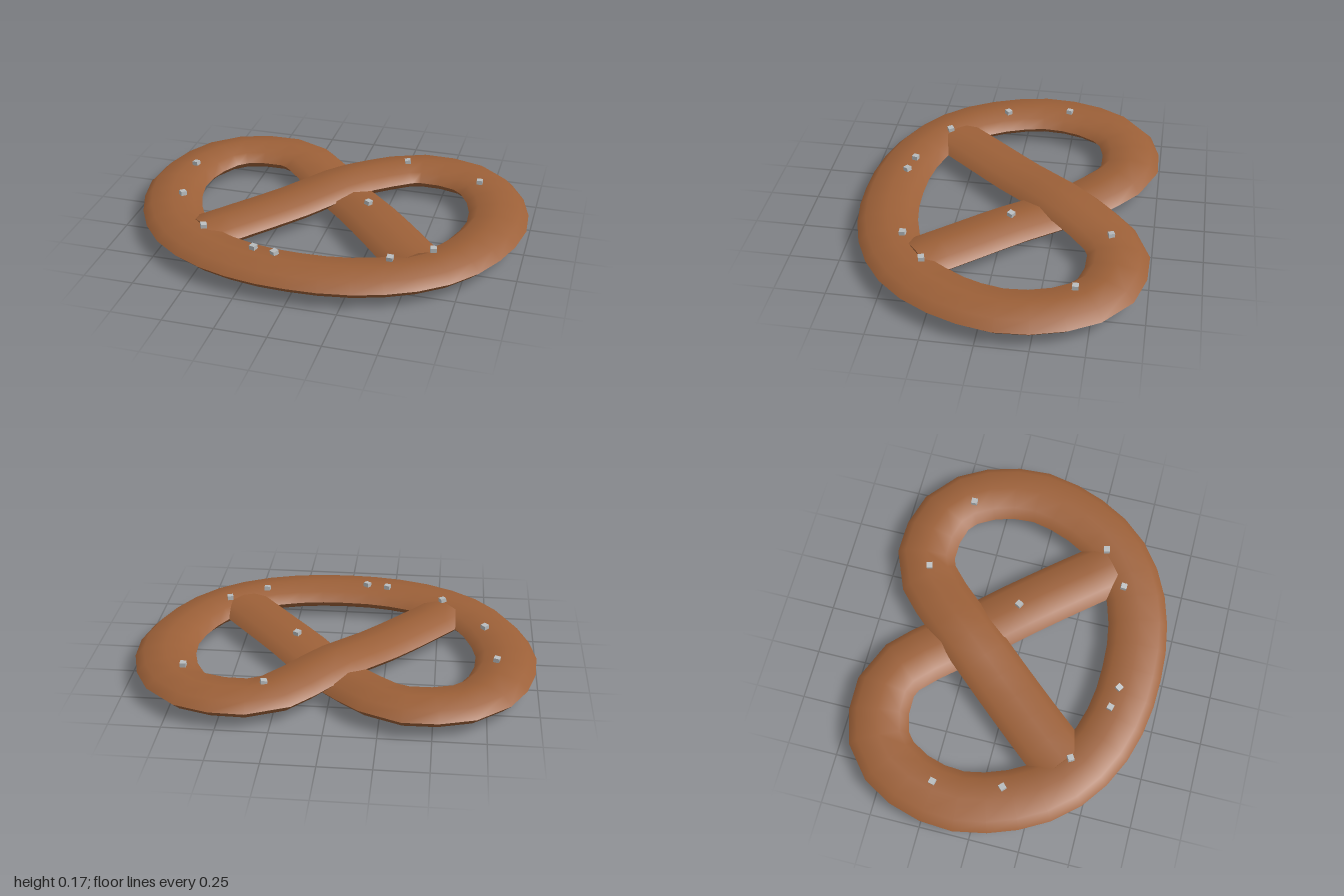
import * as THREE from 'three';

const MID_Y = 0.0875, HALF_W = 0.15, HALF_H = 0.06, STEPS = 50;

// Centre line of one half (x, z), from the front middle round the loop to the crossed-over end
const HALF = [
  [0.21, 0.57], [0.41, 0.515], [0.55, 0.44], [0.646, 0.36], [0.727, 0.255], [0.795, 0.115],
  [0.843, -0.06], [0.843, -0.18], [0.82, -0.3], [0.772, -0.41], [0.70, -0.51], [0.609, -0.565],
  [0.5, -0.592], [0.404, -0.596], [0.305, -0.578], [0.215, -0.51], [0.11, -0.405],
  [0, -0.277], [-0.2, -0.045], [-0.4, 0.19], [-0.54, 0.36],
];

// One half passes over the crossing, the other under it
function halfPath(side) {
  return HALF.map(([x, z], i) => {
    const d = Math.min(1, Math.hypot(x, z + 0.277) / 0.42);
    const lift = i < 10 ? 0 : 0.0275 * Math.cos(d * Math.PI / 2) ** 2;
    return new THREE.Vector3(side * x, MID_Y + side * lift, z);
  });
}

function makeGeometry(positions, indices) {
  const g = new THREE.BufferGeometry();
  g.setAttribute('position', new THREE.Float32BufferAttribute(positions, 3));
  g.setIndex(indices);
  g.computeVertexNormals();
  return g;
}

// Points of the flattened eight-sided section at one place on the curve
function section(curve, u, from, to) {
  const c = curve.getPointAt(u), t = curve.getTangentAt(u);
  const side = new THREE.Vector3(t.z, 0, -t.x).normalize();
  const out = [];
  for (let j = from; j <= to; j++) {
    const a = j * Math.PI / 4;
    const p = c.clone().addScaledVector(side, HALF_W * Math.cos(a));
    p.y += HALF_H * Math.sin(a);
    out.push(p.x, p.y, p.z);
  }
  return out;
}

// Half shell: smooth inside, with a sharp edge where it meets the other half
function shell(curve, from) {
  const pos = [], idx = [];
  for (let i = 0; i <= STEPS; i++) {
    pos.push(...section(curve, i / STEPS, from, from + 4));
    if (i === STEPS) break;
    for (let j = 0; j < 4; j++) {
      const a = i * 5 + j, b = a + 1, c = a + 5, d = a + 6;
      idx.push(a, b, c, b, d, c);
    }
  }
  return makeGeometry(pos, idx);
}

function endCap(curve, u) {
  const idx = [];
  for (let j = 1; j < 7; j++) idx.push(0, ...(u ? [j, j + 1] : [j + 1, j]));
  return makeGeometry(section(curve, u, 0, 7), idx);
}

export function createModel() {
  const model = new THREE.Group();
  model.name = 'pretzel';
  const crust = new THREE.MeshStandardMaterial({ name: 'brown crust', color: 0x9c6038 });
  const saltGrey = new THREE.MeshStandardMaterial({ name: 'salt', color: 0xb8bcbe });

  const add = (geometry, material, name, parent) => {
    const mesh = new THREE.Mesh(geometry, material);
    mesh.name = name;
    parent.add(mesh);
    return mesh;
  };

  // Dough rope, swept from one tucked end to the other
  const curve = new THREE.CatmullRomCurve3([
    ...halfPath(1).reverse(), new THREE.Vector3(0, MID_Y, 0.585), ...halfPath(-1),
  ]);
  curve.arcLengthDivisions = 800;
  const rope = new THREE.Group();
  rope.name = 'doughRope';
  model.add(rope);
  add(shell(curve, 0), crust, 'upperCrust', rope);
  add(shell(curve, 4), crust, 'lowerCrust', rope);
  add(endCap(curve, 0), crust, 'leftEnd', rope);
  add(endCap(curve, 1), crust, 'rightEnd', rope);

  // Salt grains scattered on top
  const grains = new THREE.Group();
  grains.name = 'saltGrains';
  model.add(grains);
  const box = new THREE.BoxGeometry(0.03, 0.022, 0.03);
  [
    [0.295, -0.55], [0.705, -0.42], [-0.795, -0.23], [0.2, -0.05], [-0.74, 0.105],
    [-0.52, 0.39], [0.605, 0.315], [0.425, 0.445], [-0.22, 0.52], [-0.11, 0.54],
  ].forEach(([x, z], i) => {
    const grain = add(box, saltGrey, 'saltGrain', grains);
    grain.position.set(x, 0.153, z);
    grain.rotation.set(0.15 * Math.sin(i * 3), i * 1.3 + 0.3, 0.15 * Math.cos(i * 2));
  });
  return model;
}
